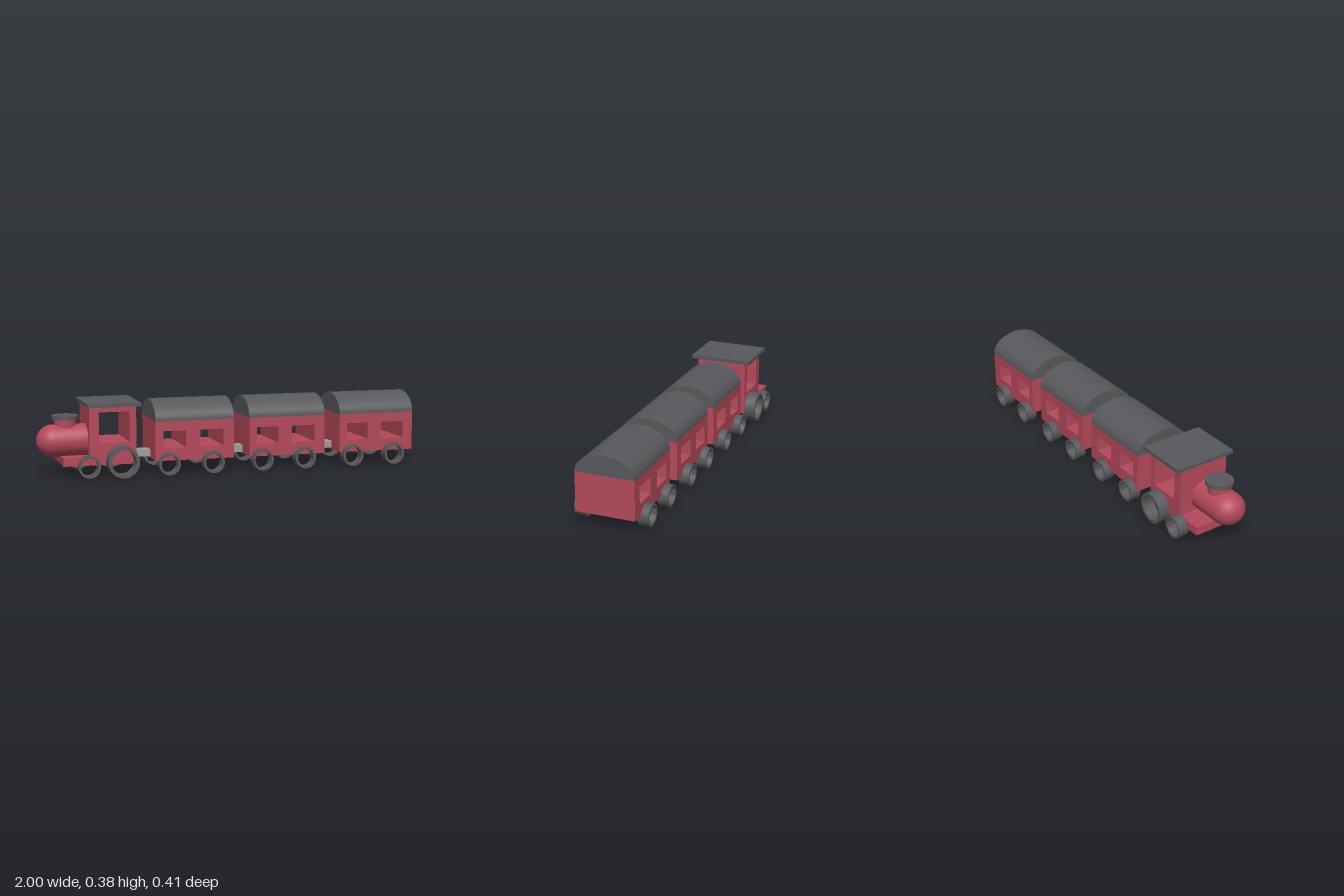
import * as THREE from 'three';
import { toCreasedNormals } from 'three/addons/utils/BufferGeometryUtils.js';

const red = new THREE.MeshStandardMaterial({ color: 0xb54a5a });
const dark = new THREE.MeshStandardMaterial({ color: 0x58595c });
const grey = new THREE.MeshStandardMaterial({ color: 0x9c9e9e });

function add(parent, name, geometry, material, x = 0, y = 0, z = 0) {
  const mesh = new THREE.Mesh(geometry, material);
  mesh.name = name;
  mesh.position.set(x, y, z);
  parent.add(mesh);
  return mesh;
}

// Box given by its limits on each axis
function block(parent, name, material, [x0, x1], [y0, y1], [z0, z1]) {
  return add(parent, name, new THREE.BoxGeometry(x1 - x0, y1 - y0, z1 - z0), material,
    (x0 + x1) / 2, (y0 + y1) / 2, (z0 + z1) / 2);
}

function rectangle(target, [x0, x1], [y0, y1]) {
  target.moveTo(x0, y0);
  target.lineTo(x1, y0);
  target.lineTo(x1, y1);
  target.lineTo(x0, y1);
  target.closePath();
  return target;
}

// Solid body with windows cut straight through from side to side
function windowedBody(parent, name, xs, ys, [z0, z1], windows) {
  const shape = rectangle(new THREE.Shape(), xs, ys);
  for (const [wx, wy] of windows) shape.holes.push(rectangle(new THREE.Path(), wx, wy));
  const geometry = new THREE.ExtrudeGeometry(shape, { depth: z1 - z0, bevelEnabled: false });
  return add(parent, name, geometry, red, 0, 0, z0);
}

// Open ring wheel between two z limits, leaning very slightly
function wheel(parent, name, x, radius, inner, [z0, z1]) {
  const h = (z1 - z0) / 2;
  const profile = [[inner, -h], [radius, -h], [radius, h], [inner, h], [inner, -h]]
    .map(([r, y]) => new THREE.Vector2(r, y));
  const geometry = toCreasedNormals(new THREE.LatheGeometry(profile, 28), 0.6);
  geometry.rotateX(Math.PI / 2 - 0.03);
  return add(parent, name, geometry, dark, x, radius + 0.002, (z0 + z1) / 2);
}

function makeCarriage(x) {
  const carriage = new THREE.Group();
  carriage.name = 'carriage';
  carriage.position.x = x;
  const length = 0.415, z0 = -0.158, z1 = 0.147;
  windowedBody(carriage, 'carriageBody', [0, length], [0.073, 0.276], [z0, z1], [
    [[0.042, 0.16], [0.138, 0.226]],
    [[0.235, 0.36], [0.138, 0.226]],
  ]);

  // Half-elliptical roof running along the carriage
  const arch = new THREE.Shape();
  arch.absellipse(0, 0, (z1 - z0) / 2, 0.101, 0, Math.PI, false);
  arch.closePath();
  const roof = new THREE.ExtrudeGeometry(arch, { depth: length, bevelEnabled: false, curveSegments: 32 });
  roof.rotateY(Math.PI / 2);
  add(carriage, 'carriageRoof', toCreasedNormals(roof, 0.6), dark, 0, 0.276, (z0 + z1) / 2);

  for (const wx of [0.064, 0.297]) {
    wheel(carriage, 'carriageWheelLeft', wx + 0.002, 0.056, 0.044, [0.131, 0.187]);
    wheel(carriage, 'carriageWheelRight', wx - 0.004, 0.056, 0.044, [-0.194, -0.138]);
  }
  return carriage;
}

function makeEngine() {
  const engine = new THREE.Group();
  engine.name = 'engine';
  const side = [-0.147, 0.128];

  // Cab, roof and front footplate
  windowedBody(engine, 'cab', [-0.749, -0.508], [0.063, 0.36], side, [
    [[-0.7, -0.543], [0.175, 0.331]],
  ]);
  block(engine, 'cabRoof', dark, [-0.762, -0.488], [0.358, 0.377], [-0.177, 0.159]);
  block(engine, 'footplate', red, [-0.882, -0.745], [0.063, 0.106], side);

  // Boiler with a rounded nose
  const radius = 0.083, straight = 0.17;
  const profile = [new THREE.Vector2(0, 0), new THREE.Vector2(radius, 0)];
  for (let i = 0; i <= 12; i++) {
    const a = (i / 12) * Math.PI / 2;
    profile.push(new THREE.Vector2(radius * Math.cos(a), straight + 0.085 * Math.sin(a)));
  }
  const boiler = new THREE.LatheGeometry(profile, 32);
  boiler.rotateZ(Math.PI / 2);
  boiler.scale(1, 1, 1.06);
  add(engine, 'boiler', toCreasedNormals(boiler, 0.7), red, -0.745, 0.18, 0.009);

  // Chimney
  add(engine, 'chimneyStem', new THREE.CylinderGeometry(0.056, 0.056, 0.08, 32), red, -0.851, 0.252, 0.006);
  add(engine, 'chimneyCap', new THREE.CylinderGeometry(0.069, 0.069, 0.019, 32), dark, -0.852, 0.299, 0.006);

  // Small front wheels and large rear wheels
  wheel(engine, 'frontWheelLeft', -0.754, 0.056, 0.044, [0.106, 0.162]);
  wheel(engine, 'frontWheelRight', -0.757, 0.056, 0.044, [-0.197, -0.141]);
  wheel(engine, 'rearWheelLeft', -0.587, 0.08, 0.063, [0.133, 0.205]);
  wheel(engine, 'rearWheelRight', -0.588, 0.08, 0.063, [-0.205, -0.139]);
  return engine;
}

export function createModel() {
  const train = new THREE.Group();
  train.name = 'train';
  train.add(makeEngine());
  for (const x of [-0.413, 0.085, 0.585]) {
    train.add(makeCarriage(x));
    // Bar joining this carriage to the one ahead
    block(train, 'coupler', grey, [x - 0.11, x + 0.01], [0.08, 0.117], [-0.031, 0.031]);
  }
  return train;
}
